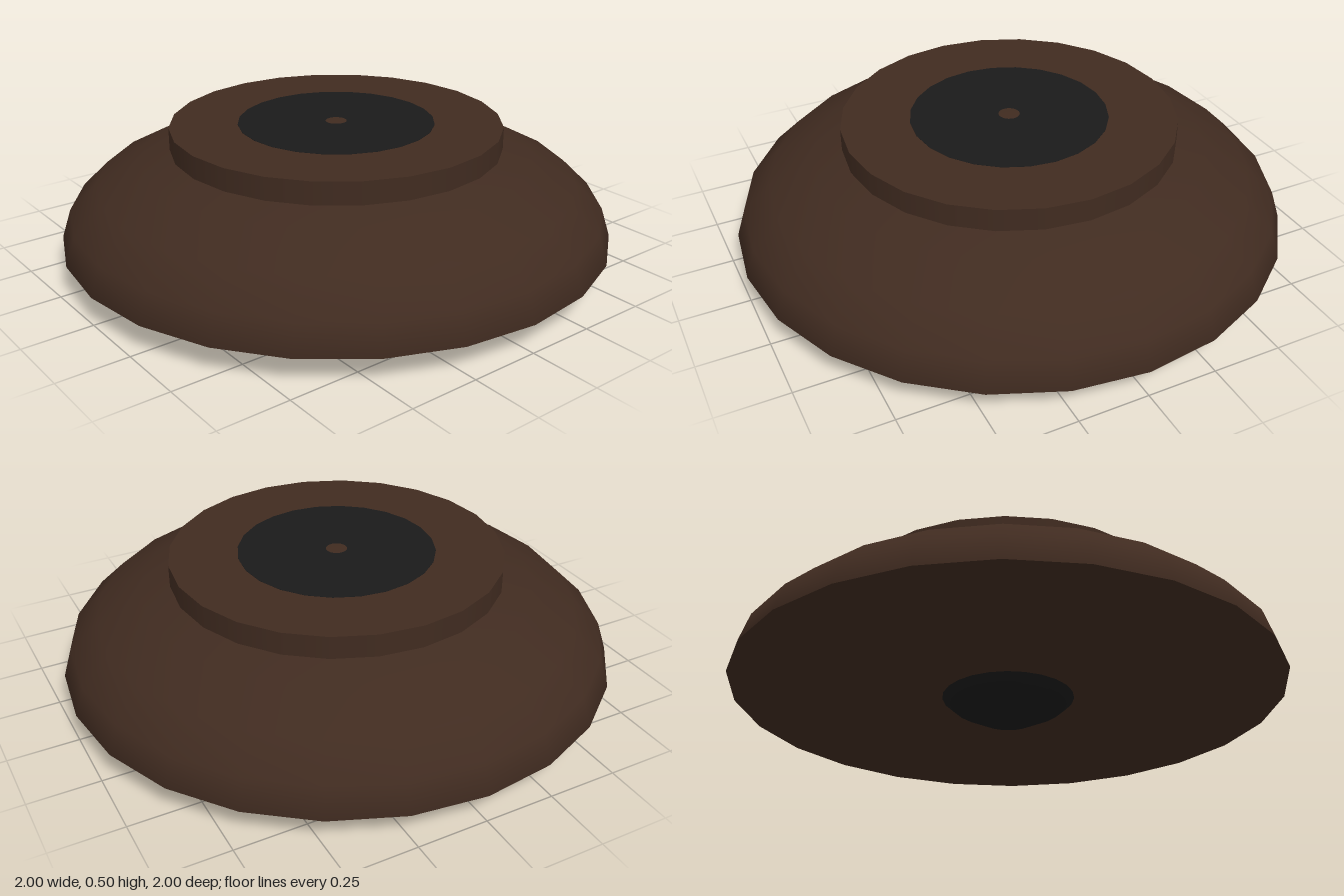
import * as THREE from 'three';

const SIDES = 24;
const brown = new THREE.MeshStandardMaterial({ color: 0x402b20 });
const black = new THREE.MeshStandardMaterial({ color: 0x1a1a1a });

function addPart(group, name, geometry, material, y = 0) {
  const mesh = new THREE.Mesh(geometry, material);
  mesh.name = name;
  mesh.position.y = y;
  group.add(mesh);
  return mesh;
}

export function createModel() {
  const group = new THREE.Group();
  group.name = 'domedFixture';

  // Flattened hemisphere shell
  const dome = new THREE.SphereGeometry(1, SIDES, 6, 0, Math.PI * 2, 0, Math.PI / 2);
  dome.scale(1, 0.4, 1);
  addPart(group, 'dome', dome, brown, 0.105);

  // Flat underside closing the dome
  const underside = new THREE.CircleGeometry(1, SIDES);
  underside.rotateX(Math.PI / 2);
  addPart(group, 'underside', underside, brown, 0.105);

  // Raised collar on top
  addPart(group, 'collar', new THREE.CylinderGeometry(0.6, 0.6, 0.2, SIDES), brown, 0.402);

  // Rounded core that pokes out below
  const profile = [[0, 0.005], [0.1, 0.02], [0.2, 0.07], [0.28, 0.14], [0.33, 0.24], [0.355, 0.35], [0.355, 0.503]];
  const core = new THREE.LatheGeometry(profile.map(([r, y]) => new THREE.Vector2(r, y)), SIDES);
  addPart(group, 'core', core, black);

  // Dark disc set in the collar
  const disc = new THREE.CircleGeometry(0.355, SIDES);
  disc.rotateX(-Math.PI / 2);
  addPart(group, 'topDisc', disc, black, 0.503);

  return group;
}
